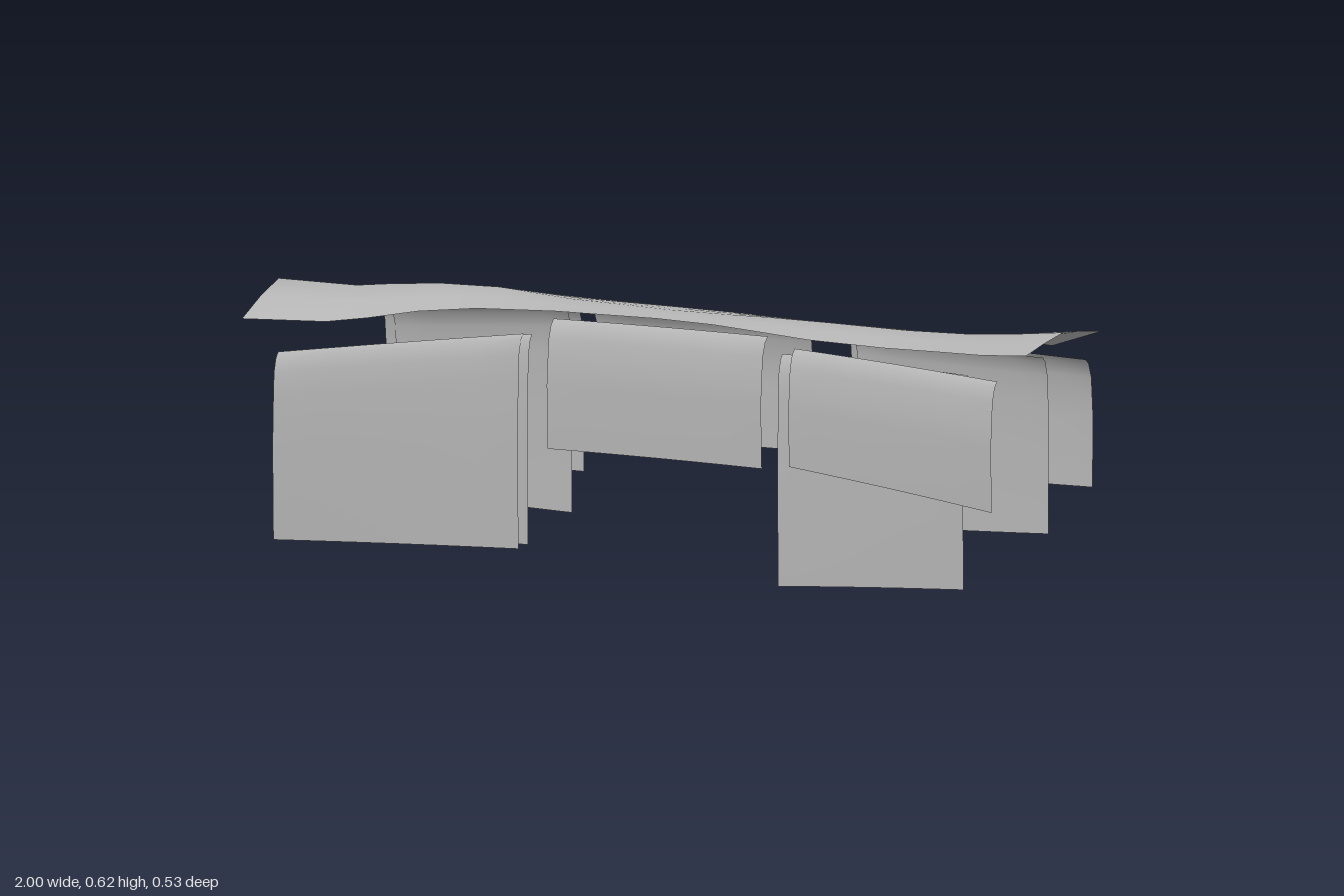
import * as THREE from 'three';

// Open sheet from a grid of points: rows of equal length
function sheet(name, rows, material) {
  const n = rows[0].length;
  const index = [];
  for (let i = 0; i < rows.length - 1; i++) {
    for (let j = 0; j < n - 1; j++) {
      const a = i * n + j, b = a + 1, c = a + n, d = c + 1;
      index.push(a, c, b, b, c, d);
    }
  }
  const geometry = new THREE.BufferGeometry();
  geometry.setAttribute('position', new THREE.Float32BufferAttribute(rows.flat(2), 3));
  geometry.setIndex(index);
  geometry.computeVertexNormals();
  const mesh = new THREE.Mesh(geometry, material);
  mesh.name = name;
  return mesh;
}

// Hanging cloth between two side edges a and b: { x, z, top, bottom }.
// The top edge curls inward, towards z = 0.
function hangingPanel(name, a, b, curl, material) {
  const side = Math.sign(a.z);
  const lerp = THREE.MathUtils.lerp;
  const rows = [];
  const columns = 6;
  for (let i = 0; i <= columns; i++) {
    const t = i / columns;
    const x = lerp(a.x, b.x, t);
    const z = lerp(a.z, b.z, t) - side * 0.008 * Math.sin(Math.PI * t);
    const top = lerp(a.top, b.top, t);
    const bottom = lerp(a.bottom, b.bottom, t);
    // inward offset and height down the cloth
    const profile = [
      [curl, top], [curl * 0.6, top - 0.012], [curl * 0.25, top - 0.045],
      [0.004, top - 0.1], [0, lerp(top, bottom, 0.5)], [0.004, bottom],
    ];
    rows.push(profile.map(([d, y]) => [x, y, z - side * d]));
  }
  const mesh = sheet(name, side > 0 ? rows : rows.reverse(), material);
  return mesh;
}

export function createModel() {
  const model = new THREE.Group();
  const cloth = new THREE.MeshStandardMaterial({ color: 0xb4b4b4, side: THREE.DoubleSide });
  cloth.name = 'grey cloth';

  // Canopy stations: x, ridge height, front edge z and y, back edge z and y
  const stations = [
    [-1, 0.58, 0.182, 0.515, -0.172, 0.517],
    [-0.8, 0.58, 0.155, 0.52, -0.142, 0.522],
    [-0.7, 0.592, 0.145, 0.535, -0.125, 0.538],
    [-0.58, 0.602, 0.125, 0.557, -0.118, 0.56],
    [-0.44, 0.605, 0.108, 0.572, -0.1, 0.575],
    [-0.25, 0.592, 0.09, 0.578, -0.088, 0.58],
    [0, 0.587, 0.076, 0.579, -0.078, 0.58],
    [0.15, 0.588, 0.08, 0.577, -0.076, 0.579],
    [0.25, 0.59, 0.09, 0.573, -0.084, 0.574],
    [0.4, 0.59, 0.098, 0.565, -0.103, 0.563],
    [0.6, 0.588, 0.115, 0.565, -0.13, 0.56],
    [0.75, 0.592, 0.14, 0.572, -0.16, 0.555],
    [0.88, 0.602, 0.165, 0.578, -0.18, 0.547],
    [1, 0.615, 0.185, 0.59, -0.193, 0.588],
  ];
  const canopyRows = stations.map(([x, y, fz, fy, bz, by]) => [
    [x, y, 0],
    [x, y + (fy - y) * 0.42, fz * 0.5],
    [x, fy, fz],
  ].reduce((row, p) => [...row, p], [
    [x, by, bz],
    [x, y + (by - y) * 0.42, bz * 0.5],
  ]));
  model.add(sheet('canopy', canopyRows.map((r) => r.reverse()).reverse(), cloth));

  // Panels: name, curl, first edge [x, z, top, bottom], second edge
  const panels = [
    ['frontRightOuterPanel', 0.028, [-0.88, 0.264, 0.457, 0.028], [-0.33, 0.118, 0.52, 0.028]],
    ['frontRightInnerPanel', 0.025, [-0.85, 0.25, 0.455, 0.045], [-0.31, 0.109, 0.52, 0.038]],
    ['frontMiddlePanel', 0.035, [-0.255, 0.12, 0.56, 0.265], [0.29, 0.118, 0.562, 0.262]],
    ['frontLeftLongPanel', 0.025, [0.345, 0.144, 0.532, 0], [0.85, 0.207, 0.533, 0.042]],
    ['frontLeftShortPanel', 0.032, [0.38, 0.158, 0.548, 0.28], [0.94, 0.243, 0.53, 0.232]],
    ['backRightLongPanel', 0.035, [-0.82, -0.238, 0.495, 0.07], [-0.33, -0.155, 0.545, 0.07]],
    ['backRightShortPanel', 0.04, [-0.85, -0.246, 0.505, 0.155], [-0.305, -0.166, 0.55, 0.165]],
    ['backMiddlePanel', 0.045, [-0.255, -0.143, 0.555, 0.262], [0.29, -0.146, 0.56, 0.262]],
    ['backLeftLongPanel', 0.03, [0.4, -0.154, 0.54, 0.1], [0.85, -0.222, 0.515, 0.105]],
    ['backLeftShortPanel', 0.037, [0.38, -0.163, 0.553, 0.23], [0.94, -0.266, 0.512, 0.213]],
  ];
  const edge = ([x, z, top, bottom]) => ({ x, z, top, bottom });
  for (const [name, curl, a, b] of panels) {
    model.add(hangingPanel(name, edge(a), edge(b), curl, cloth));
  }
  return model;
}
